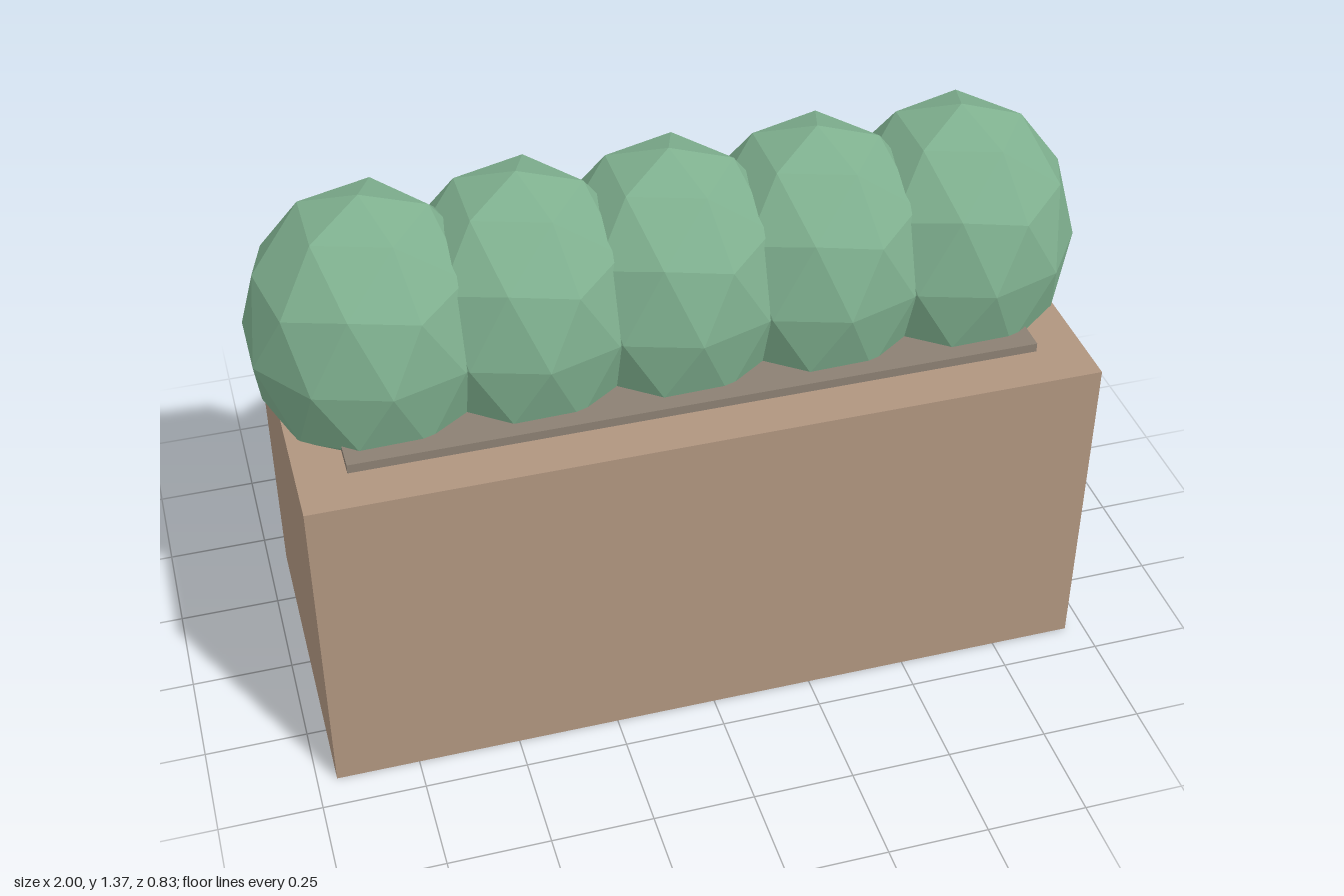
import * as THREE from 'three';

export function createModel() {
  const model = new THREE.Group();
  model.name = 'hedgePlanter';

  const material = (name, color, flatShading = false) => {
    const m = new THREE.MeshStandardMaterial({ color, flatShading });
    m.name = name;
    return m;
  };
  const clay = material('clay', 0xb0957f);
  const earth = material('earth', 0x8c8073);
  const leaf = material('leaf', 0x7fb08f, true);

  const add = (name, geometry, mat, x, y, z) => {
    const mesh = new THREE.Mesh(geometry, mat);
    mesh.name = name;
    mesh.position.set(x, y, z);
    model.add(mesh);
  };

  // Planter block with a thin soil slab showing on top
  const top = 0.837;
  add('planter', new THREE.BoxGeometry(1.905, top, 0.833), clay, 0, top / 2, 0);
  add('soil', new THREE.BoxGeometry(1.67, 0.12, 0.595), earth, 0, 0.8, 0);

  // Bush: a low-poly ball turned to stand on a corner, then stretched upward
  const bush = new THREE.IcosahedronGeometry(1, 1);
  bush.rotateZ(-Math.atan(2 / (1 + Math.sqrt(5))));
  bush.scale(0.298, 0.357, 0.298);
  bush.computeVertexNormals();

  // Row of five overlapping bushes
  for (let i = -2; i <= 2; i++) {
    add(`bush${i + 3}`, bush, leaf, i * 0.358, 1.017, 0);
  }

  return model;
}
